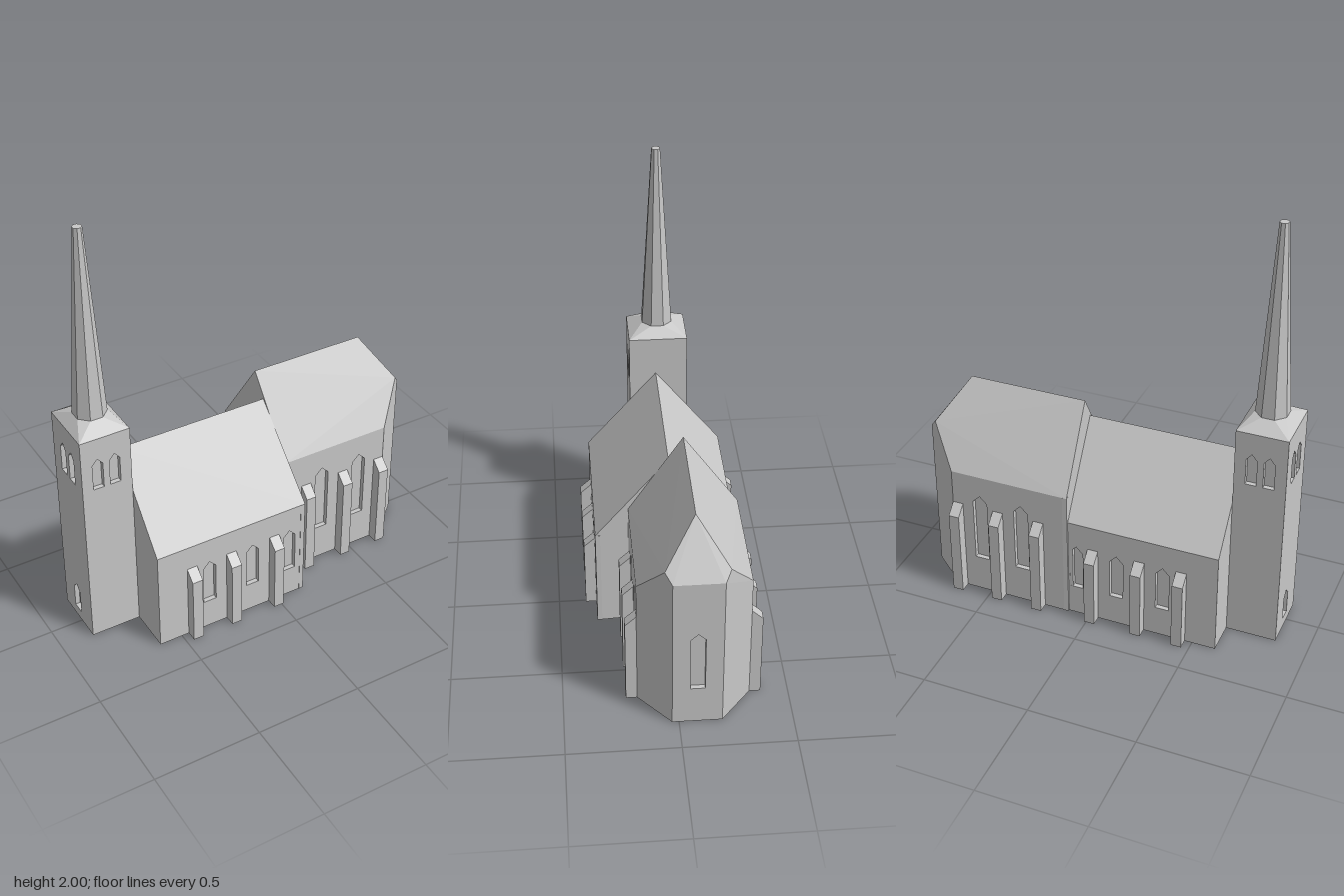
import * as THREE from 'three';
import { ConvexGeometry } from 'three/addons/geometries/ConvexGeometry.js';

const RECESS = 0.022;
const stone = new THREE.MeshStandardMaterial({ color: 0xc8c8c8 });
stone.name = 'pale stone';

function mesh(name, geometry, parent) {
  const m = new THREE.Mesh(geometry, stone);
  m.name = name;
  parent.add(m);
  return m;
}

const hull = (points) => new ConvexGeometry(points.map((p) => new THREE.Vector3(...p)));

// Pointed window outline: u = centre along the wall
function windowPath([u, width, sill, shoulder, tip]) {
  const h = width / 2;
  return new THREE.Path([[u - h, sill], [u + h, sill], [u + h, shoulder], [u, tip], [u - h, shoulder]]
    .map((p) => new THREE.Vector2(...p)));
}

// One wall from a to b (outside on the right-hand side) with recessed windows
function wall(name, a, b, height, windows, parent) {
  const dx = b[0] - a[0], dz = b[1] - a[1], length = Math.hypot(dx, dz);
  const group = new THREE.Group();
  group.name = name;
  group.position.set(a[0], 0, a[1]);
  group.rotation.y = Math.atan2(-dz, dx);
  parent.add(group);
  const shape = new THREE.Shape([[0, 0], [length, 0], [length, height], [0, height]]
    .map((p) => new THREE.Vector2(...p)));
  shape.holes = windows.map(windowPath);
  const panel = new THREE.ExtrudeGeometry(shape, { depth: RECESS, bevelEnabled: false });
  mesh('wallPanel', panel.translate(0, 0, -RECESS), group);
  if (windows.length) {
    const back = new THREE.PlaneGeometry(length, height).translate(length / 2, height / 2, -RECESS);
    mesh('windowBacks', back, group);
  }
}

// Ring of walls plus floor; windows is keyed by edge index
function walls(footprint, height, windows, parent) {
  footprint.forEach((a, i) => {
    const b = footprint[(i + 1) % footprint.length];
    wall('wall' + (i + 1), a, b, height, windows[i] || [], parent);
  });
  const floor = new THREE.ShapeGeometry(new THREE.Shape(footprint.map((p) => new THREE.Vector2(...p))));
  mesh('floor', floor.rotateX(Math.PI / 2), parent);
}

// Buttress with a sloping top, against the wall at z, on the given side
function buttress(x, z, side, low, high, parent) {
  const w = 0.025, out = z + side * 0.05, inn = z - side * 0.01;
  const points = [];
  for (const px of [x - w, x + w]) {
    points.push([px, 0, inn], [px, 0, out], [px, low, out], [px, high, z], [px, high, inn]);
  }
  mesh('buttress', hull(points), parent);
}

function section(name, parent) {
  const g = new THREE.Group();
  g.name = name;
  parent.add(g);
  return g;
}

export function createModel() {
  const church = new THREE.Group();
  church.name = 'church';

  // Tower
  const tower = section('tower', church);
  const tx0 = -0.845, tx1 = -0.61, tz0 = -0.162, tz1 = 0.114, towerTop = 1.073;
  const pair = (middle, gap) => [-1, 1].map((s) => [middle + s * gap, 0.05, 0.815, 0.94, 0.97]);
  walls([[tx0, tz1], [tx1, tz1], [tx1, tz0], [tx0, tz0]], towerTop, {
    0: pair(0.117, 0.04),
    2: pair(0.117, 0.04),
    3: [...pair(0.138, 0.04), [0.13, 0.06, 0.05, 0.165, 0.195]],
  }, tower);

  // Sloping tower cap and eight-sided spire
  const cx = (tx0 + tx1) / 2, cz = (tz0 + tz1) / 2, capTop = 1.12, r = 0.076;
  const cap = [];
  for (const x of [tx0, tx1]) for (const z of [tz0, tz1]) cap.push([x, towerTop, z]);
  for (let i = 0; i < 8; i++) {
    const a = (i + 0.5) * Math.PI / 4;
    cap.push([cx + r * Math.sin(a), capTop, cz + r * Math.cos(a)]);
  }
  mesh('towerCap', hull(cap), tower);
  const spire = new THREE.CylinderGeometry(0.021, r, 2 - capTop, 8)
    .rotateY(Math.PI / 8).toNonIndexed();
  spire.computeVertexNormals();
  mesh('spire', spire, tower).position.set(cx, (2 + capTop) / 2, cz);

  // Nave, with a slightly skewed east end
  const nave = section('nave', church);
  const nx = -0.61, nz0 = -0.32, nz1 = 0.323, naveEave = 0.5;
  const navePlan = [[nx, nz1], [0.147, nz1], [0.106, nz0], [nx, nz0]];
  const naveWindow = (u) => [u, 0.064, 0.148, 0.342, 0.376];
  const naveXs = [-0.352, -0.13, 0.066];
  walls(navePlan, naveEave, {
    0: naveXs.map((x) => naveWindow(x - nx)),
    2: naveXs.map((x) => naveWindow(0.106 - x)),
  }, nave);
  mesh('naveRoof', hull([
    ...navePlan.map(([x, z]) => [x, naveEave, z]),
    [nx, 0.887, -0.012], [0.125, 0.887, -0.012],
  ]), nave);
  for (const x of [-0.44, -0.24, -0.015]) {
    buttress(x, nz1, 1, 0.335, 0.38, nave);
    buttress(x, nz0, -1, 0.335, 0.38, nave);
  }

  // Chancel with a canted east end
  const chancel = section('chancel', church);
  const cz0 = -0.328, cz1 = 0.172, ridgeZ = -0.078, eave = 0.635;
  const plan = [[0.137, cz1], [0.68, cz1], [0.845, 0.03], [0.845, -0.19], [0.68, cz0], [0.106, cz0]];
  const chancelWindow = (u) => [u, 0.07, 0.18, 0.495, 0.53];
  const chancelXs = [0.336, 0.542];
  walls(plan, eave, {
    0: chancelXs.map((x) => chancelWindow(x - 0.137)),
    2: [[0.11, 0.065, 0.19, 0.465, 0.495]],
    4: chancelXs.map((x) => chancelWindow(0.68 - x)),
  }, chancel);
  mesh('chancelRoof', hull([
    ...plan.map(([x, z]) => [x, eave, z]),
    [0.12, 1.003, ridgeZ], [0.68, 1.003, ridgeZ],
    [0.81, 0.809, ridgeZ + 0.138], [0.81, 0.809, ridgeZ - 0.138],
    [0.845, 0.765, 0.03], [0.845, 0.765, -0.19],
  ]), chancel);
  for (const x of [0.25, 0.453, 0.655]) {
    buttress(x, cz1, 1, 0.42, 0.467, chancel);
    buttress(x, cz0, -1, 0.42, 0.467, chancel);
  }

  return church;
}
